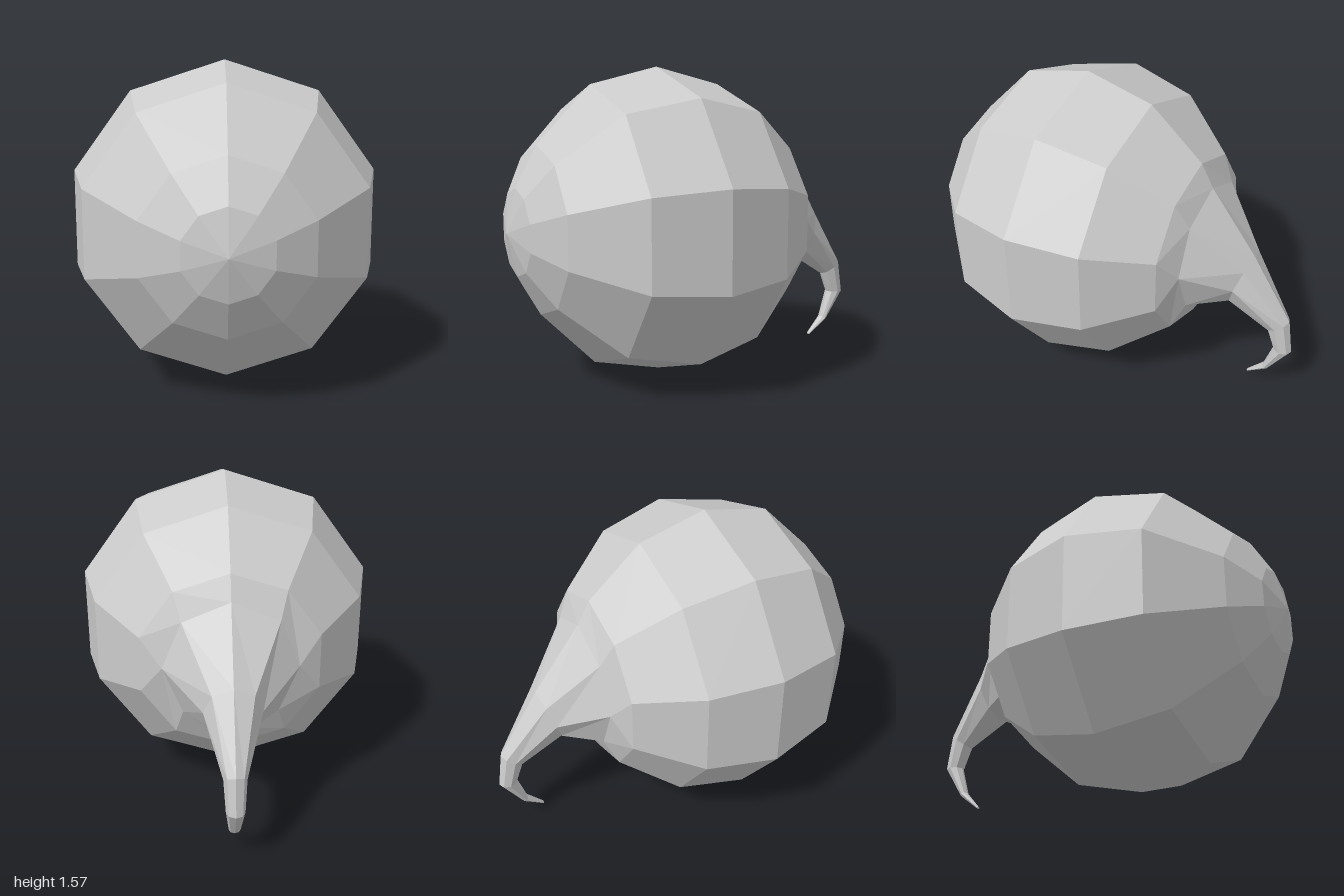
import * as THREE from 'three';

const CY = 0.787; // height of the body's axis
const decagon = [90, 54, 18, -18, -54, -90, -126, -162, 162, 126];
// Eight-sided ring with its side corners doubled so it joins the ten-sided body
const octagon = [90, 45, 0, 0, -45, -90, -135, 180, 180, 135];

// Ring spanning a top and a bottom point (in the z-y plane) with a half width
function ring(angles, topZ, topY, botZ, botY, halfWidth) {
  return angles.map((deg) => {
    const a = THREE.MathUtils.degToRad(deg);
    const t = (1 + Math.sin(a)) / 2;
    return new THREE.Vector3(
      halfWidth * Math.cos(a),
      THREE.MathUtils.lerp(botY, topY, t),
      THREE.MathUtils.lerp(botZ, topZ, t)
    );
  });
}

const bodyRing = (z, r) => ring(decagon, z, CY + r, z, CY - r, r);
const tailRing = (...dims) => ring(octagon, ...dims);

// Skin a row of rings, leaving out collapsed triangles
function loft(rings, name) {
  const points = [];
  const triangle = new THREE.Triangle();
  const add = (a, b, c) => {
    if (triangle.set(a, b, c).getArea() > 1e-7) points.push(a, b, c);
  };
  for (let i = 0; i < rings.length - 1; i++) {
    const near = rings[i], far = rings[i + 1], n = near.length;
    for (let j = 0; j < n; j++) {
      const k = (j + 1) % n;
      add(near[j], near[k], far[j]);
      add(near[k], far[k], far[j]);
    }
  }
  const geometry = new THREE.BufferGeometry().setFromPoints(points);
  geometry.computeVertexNormals();
  const material = new THREE.MeshStandardMaterial({ color: 0xcccccc, flatShading: true });
  const mesh = new THREE.Mesh(geometry, material);
  mesh.name = name;
  return mesh;
}

export function createModel() {
  const group = new THREE.Group();
  group.name = 'roundBodyWithTail';

  // Faceted ball, from the front pole to the open ring behind
  const body = [
    [1.0, 0], [0.95, 0.215], [0.84, 0.415], [0.56, 0.7],
    [0.2, 0.787], [-0.155, 0.7], [-0.435, 0.46],
  ].map(([z, r]) => bodyRing(z, r));
  group.add(loft(body, 'body'));

  // Tail: flares out of the body, droops and hooks forward to a thin tip
  const tail = [
    body[body.length - 1],
    tailRing(-0.5, 1.13, -0.5, 0.46, 0.33),
    tailRing(-0.75, 0.81, -0.66, 0.525, 0.14),
    tailRing(-0.97, 0.48, -0.86, 0.4, 0.055),
    tailRing(-1.0, 0.29, -0.905, 0.29, 0.045),
    tailRing(-0.89, 0.125, -0.86, 0.145, 0.028),
    tailRing(-0.78, 0.045, -0.775, 0.055, 0.01),
    tailRing(-0.775, 0.05, -0.775, 0.05, 0),
  ];
  group.add(loft(tail, 'tail'));

  return group;
}
